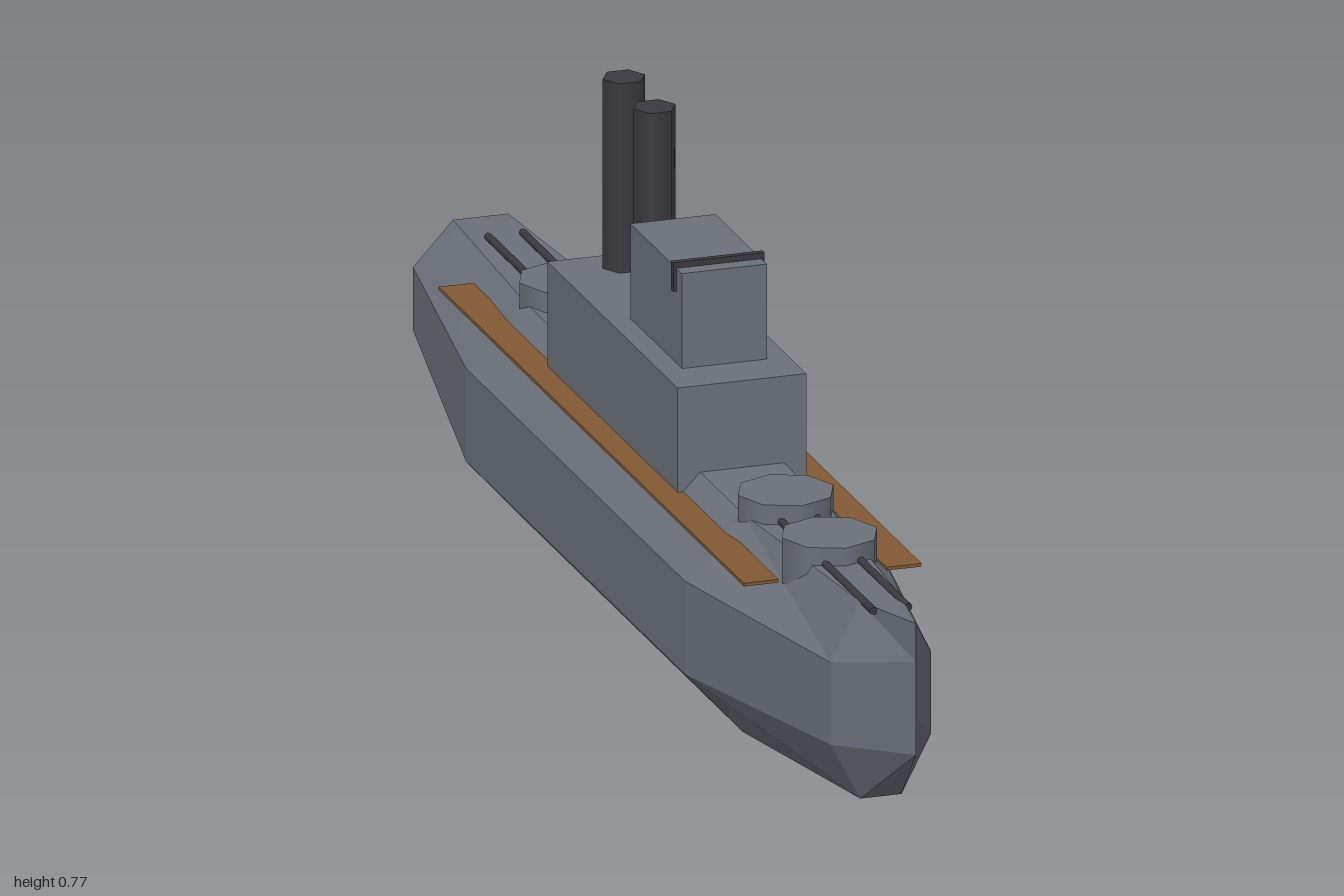
import * as THREE from 'three';

const mat = (name, color) => {
  const m = new THREE.MeshStandardMaterial({ color });
  m.name = name;
  return m;
};

// Eight-sided hull lofted through stations running from stern to bow
function hullGeometry() {
  // z, bottom half-width, side half-width, then the four heights
  const stations = [
    [-0.99, 0.043, 0.105, 0.10, 0.17, 0.268, 0.335],
    [-0.6, 0.065, 0.155, 0, 0.1, 0.245, 0.34],
    [0.4, 0.065, 0.155, 0, 0.1, 0.245, 0.34],
    [0.84, 0.032, 0.078, 0.038, 0.127, 0.255, 0.345],
    [1.0, 0, 0, 0.155, 0.215, 0.3, 0.36],
  ];
  const rings = stations.map(([z, b, w, y0, y1, y2, y3]) =>
    [[b, y0], [w, y1], [w, y2], [b, y3], [-b, y3], [-w, y2], [-w, y1], [-b, y0]]
      .map(([x, y]) => new THREE.Vector3(x, y, z)));
  const points = [];
  const tri = (a, b, c) => {
    if (new THREE.Triangle(a, b, c).getArea() > 1e-7) points.push(a, b, c);
  };
  for (let s = 0; s < rings.length - 1; s++) {
    for (let i = 0; i < 8; i++) {
      const j = (i + 1) % 8;
      const [a, b, c, d] = [rings[s][i], rings[s][j], rings[s + 1][j], rings[s + 1][i]];
      tri(a, b, c);
      tri(a, c, d);
    }
  }
  for (let i = 1; i < 7; i++) tri(rings[0][0], rings[0][i + 1], rings[0][i]); // transom
  const geometry = new THREE.BufferGeometry().setFromPoints(points);
  geometry.computeVertexNormals();
  return geometry;
}

export function createModel() {
  const ship = new THREE.Group();
  ship.name = 'warship';
  const grey = mat('hull grey', 0x6b707a);
  const dark = mat('dark metal', 0x3b3a40);
  const brown = mat('wood brown', 0x825a33);

  const add = (name, geometry, material, x, y, z, parent = ship) => {
    const mesh = new THREE.Mesh(geometry, material);
    mesh.name = name;
    mesh.position.set(x, y, z);
    parent.add(mesh);
    return mesh;
  };
  const box = (name, material, w, h, d, x, y, z, parent) =>
    add(name, new THREE.BoxGeometry(w, h, d), material, x, y, z, parent);

  add('hull', hullGeometry(), grey, 0, 0, 0);

  // Superstructure
  box('deckhouse', grey, 0.2, 0.175, 0.595, 0, 0.3875, -0.0925);
  box('bridge', grey, 0.132, 0.15, 0.235, 0, 0.548, 0.0075);

  // Dark frame over the bridge
  box('bridgeFrameTop', dark, 0.142, 0.01, 0.01, 0, 0.627, 0.095);
  for (const s of [-1, 1]) {
    box('bridgeFrameSide', dark, 0.005, 0.045, 0.01, s * 0.0685, 0.6095, 0.095);
  }

  // Funnels, with corners pointing sideways
  for (const z of [-0.195, -0.335]) {
    const funnel = add('funnel', new THREE.CylinderGeometry(0.033, 0.033, 0.3, 6), dark, 0, 0.62, z);
    funnel.rotation.y = Math.PI / 2;
  }

  // Gun turrets, each with twin barrels
  for (const [z, dir] of [[0.605, 1], [0.405, 1], [-0.595, -1]]) {
    const turret = new THREE.Group();
    turret.name = 'turret';
    turret.position.z = z;
    ship.add(turret);
    add('turretHouse', new THREE.CylinderGeometry(0.074, 0.074, 0.07, 8), grey, 0, 0.336, 0, turret);
    for (const s of [-1, 1]) {
      const barrel = add('gunBarrel', new THREE.CylinderGeometry(0.006, 0.006, 0.28, 8), dark,
        s * 0.027, 0.345, dir * 0.142, turret);
      barrel.rotation.x = Math.PI / 2;
    }
  }

  // Wooden side walkways
  for (const s of [-1, 1]) {
    box('sideWalkway', brown, 0.054, 0.005, 1.395, s * 0.111, 0.31, -0.0775);
  }

  // Cross-shaped propeller on the stern
  box('propellerBladeAcross', brown, 0.1, 0.01, 0.01, 0, 0.16, -0.995);
  box('propellerBladeUpright', brown, 0.01, 0.1, 0.01, 0, 0.16, -0.995);

  return ship;
}
